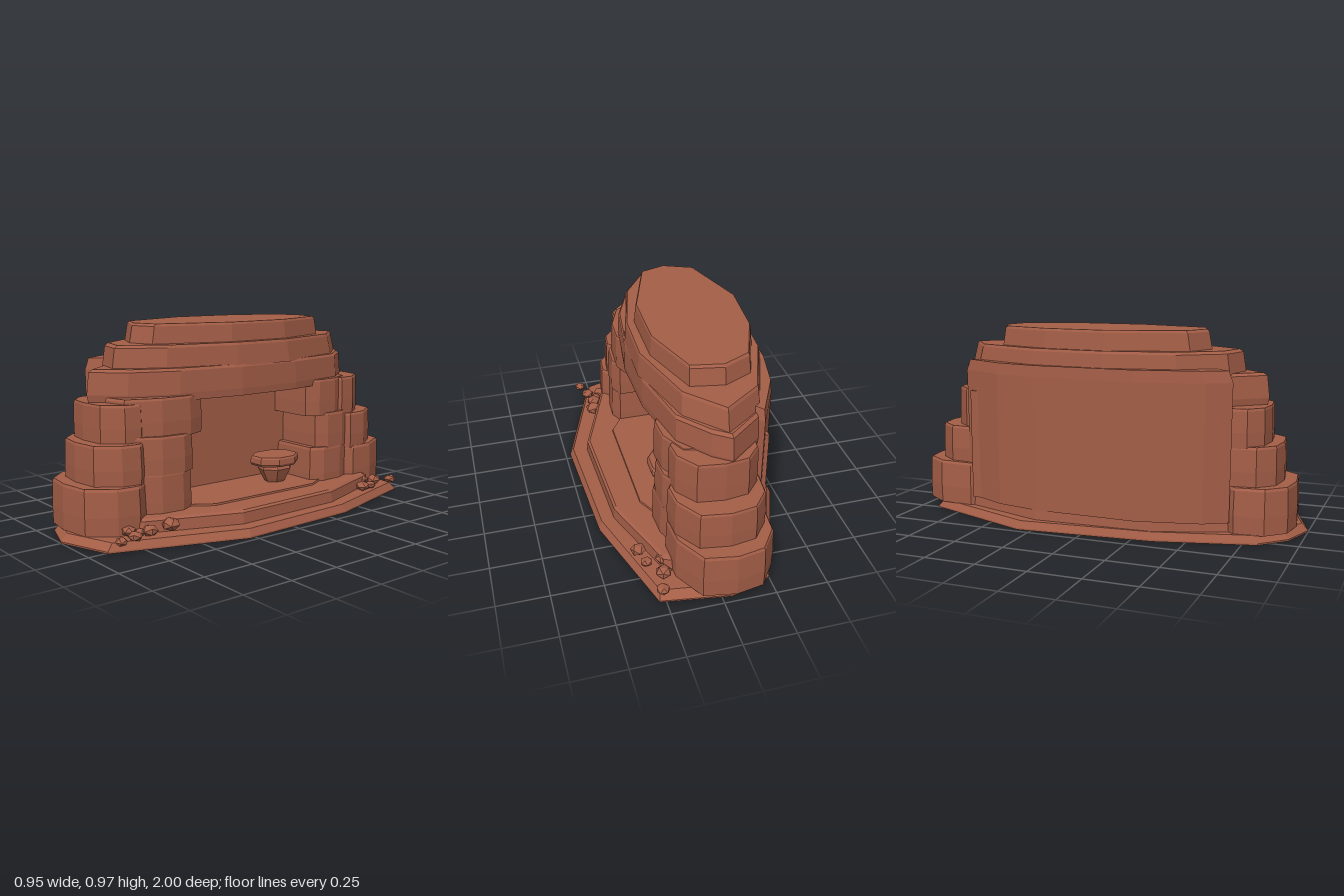
import * as THREE from 'three';

const rock = new THREE.MeshStandardMaterial({ color: 0xa45e47, flatShading: true });
rock.name = 'red sandstone';

// Rock slab: an outline of [x, z] corners stacked in rings [y, scale, dx, dz], closed by caps.
function slab(name, outline, rings) {
  const n = outline.length;
  let area = 0, cx = 0, cz = 0;
  outline.forEach(([x, z], i) => {
    const [u, w] = outline[(i + 1) % n];
    area += x * w - u * z;
    cx += x / n;
    cz += z / n;
  });
  const pts = area > 0 ? [...outline].reverse() : outline;
  const levels = rings.map(([y, s, dx = 0, dz = 0]) =>
    pts.map(([x, z]) => [cx + (x - cx) * s + dx, y, cz + (z - cz) * s + dz]));
  const pos = [];
  const tri = (a, b, c) => pos.push(...a, ...b, ...c);
  for (let k = 0; k < levels.length - 1; k++) {
    const lo = levels[k], hi = levels[k + 1];
    for (let i = 0; i < n; i++) {
      const j = (i + 1) % n;
      tri(lo[i], lo[j], hi[j]);
      tri(lo[i], hi[j], hi[i]);
    }
  }
  const bottom = levels[0], top = levels[levels.length - 1];
  for (let i = 1; i < n - 1; i++) {
    tri(bottom[0], bottom[i + 1], bottom[i]);
    tri(top[0], top[i], top[i + 1]);
  }
  const geo = new THREE.BufferGeometry();
  geo.setAttribute('position', new THREE.Float32BufferAttribute(pos, 3));
  geo.computeVertexNormals();
  const mesh = new THREE.Mesh(geo, rock);
  mesh.name = name;
  return mesh;
}

// Column block: rounded toward its outer end (zOut), chamfered at its inner end (zIn).
function block(name, x0, x1, zIn, zOut, y0, y1) {
  const shape = [[0.1, 0], [0.9, 0], [1, 0.2], [0.98, 0.55], [0.8, 0.93], [0.48, 1], [0.2, 0.94], [0.03, 0.65], [0, 0.2]];
  const outline = shape.map(([u, v]) => [x0 + (x1 - x0) * u, zIn + (zOut - zIn) * v]);
  const h = y1 - y0;
  return slab(name, outline, [[y0, 0.99], [y0 + h * 0.4, 1], [y1 - h * 0.06, 0.98], [y1, 0.95]]);
}

export function createModel() {
  const model = new THREE.Group();
  model.name = 'rockShelter';

  // Ground plate and floor steps
  model.add(
    slab('groundPlate', [[0, 1], [0.26, 0.91], [0.475, 0.28], [0.445, -0.37], [0.28, -0.92], [-0.05, -0.97],
      [-0.25, -0.9], [-0.475, -0.32], [-0.42, 0.35], [-0.3, 0.82], [-0.18, 0.94]], [[0, 1], [0.008, 1], [0.042, 0.965]]),
    slab('floorStep', [[0.05, 0.85], [0.22, 0.7], [0.385, 0.25], [0.365, -0.35], [0.22, -0.76], [0, -0.86],
      [-0.25, -0.75], [-0.42, -0.25], [-0.4, 0.35], [-0.26, 0.72]], [[0.04, 1], [0.095, 0.99], [0.105, 0.96]]),
    slab('innerFloor', [[0.1, 0.5], [0.23, 0.3], [0.23, -0.34], [0.15, -0.5], [-0.3, -0.5], [-0.3, 0.5]],
      [[0.1, 1], [0.114, 0.99]]));

  // Back wall, with its thicker inner face behind the opening
  model.add(
    slab('backWall', [[-0.24, 0.62], [-0.295, 0.69], [-0.36, 0.58], [-0.43, 0.27], [-0.42, -0.25],
      [-0.375, -0.47], [-0.26, -0.7], [-0.23, -0.66]], [[0.09, 0.99], [0.74, 1], [0.795, 0.97]]),
    slab('innerWall', [[-0.1, 0.6], [-0.3, 0.6], [-0.3, -0.66], [-0.1, -0.66]], [[0.09, 1], [0.64, 1]]));

  // Stacked end columns: [x0, x1, zIn, zOut, y0, y1]
  const columns = {
    frontOuterBlock: [[-0.3, 0.205, 0.64, 0.955, 0.04, 0.258], [-0.27, 0.175, 0.62, 0.89, 0.25, 0.443], [-0.27, 0.135, 0.6, 0.83, 0.435, 0.618]],
    frontInnerBlock: [[-0.13, 0.195, 0.39, 0.72, 0.05, 0.295], [-0.15, 0.195, 0.38, 0.72, 0.285, 0.465], [-0.18, 0.175, 0.31, 0.75, 0.455, 0.64]],
    backOuterBlock: [[-0.29, 0.19, -0.6, -1, 0.04, 0.26], [-0.26, 0.18, -0.6, -0.92, 0.25, 0.443], [-0.24, 0.16, -0.56, -0.82, 0.435, 0.64]],
    backInnerBlock: [[-0.13, 0.195, -0.38, -0.74, 0.05, 0.285], [-0.15, 0.19, -0.42, -0.74, 0.275, 0.465], [-0.18, 0.18, -0.36, -0.7, 0.455, 0.645]]
  };
  for (const [name, tiers] of Object.entries(columns)) {
    tiers.forEach((t, i) => model.add(block(name + (i + 1), ...t)));
  }

  // Layered roof
  model.add(
    slab('lowerRoof', [[-0.07, 0.81], [0.06, 0.67], [0.15, 0.44], [0.195, 0.1], [0.19, -0.25], [0.12, -0.6],
      [0.0, -0.75], [-0.08, -0.81], [-0.24, -0.68], [-0.36, -0.42], [-0.39, 0.1], [-0.31, 0.5], [-0.19, 0.67]],
    [[0.615, 0.99], [0.65, 1], [0.755, 0.985], [0.768, 0.96]]),
    slab('middleRoof', [[-0.04, 0.69], [0.1, 0.48], [0.185, 0.12], [0.195, -0.2], [0.09, -0.59], [-0.07, -0.77],
      [-0.26, -0.63], [-0.39, -0.28], [-0.415, 0.1], [-0.35, 0.44], [-0.2, 0.65]],
    [[0.76, 1], [0.86, 0.97, 0, 0.005], [0.873, 0.95]]),
    slab('topRoof', [[0.01, 0.5], [0.135, 0.12], [0.14, -0.22], [0.04, -0.53], [-0.12, -0.56], [-0.26, -0.49],
      [-0.36, -0.22], [-0.385, 0.1], [-0.27, 0.48], [-0.12, 0.545]],
    [[0.865, 1], [0.955, 0.97], [0.967, 0.95]]));

  // Mushroom-shaped pedestal stone
  const ring = (cx, cz, rx, rz, n) => Array.from({ length: n }, (_, i) => {
    const a = (i + 0.5) / n * Math.PI * 2;
    return [cx + Math.cos(a) * rx, cz + Math.sin(a) * rz];
  });
  model.add(
    slab('pedestalStem', ring(0.05, -0.235, 0.08, 0.1, 7), [[0.1, 0.5], [0.13, 0.7], [0.185, 1], [0.21, 0.85]]),
    slab('pedestalCap', ring(0.05, -0.23, 0.11, 0.14, 8), [[0.208, 0.94], [0.22, 1], [0.247, 0.98], [0.256, 0.92]]));

  // Scattered rubble: [x, y, z, radius]
  const pebble = new THREE.IcosahedronGeometry(1, 0);
  [[0.28, 0.08, 0.59, 0.046], [0.26, 0.065, 0.69, 0.04], [0.21, 0.065, 0.77, 0.035], [0.28, 0.06, 0.78, 0.035],
    [0.31, 0.06, 0.87, 0.03], [0.24, 0.06, 0.73, 0.028], [0.26, 0.06, -0.9, 0.034], [0.23, 0.065, -0.8, 0.04],
    [0.29, 0.06, -0.71, 0.03], [0.31, 0.07, -0.63, 0.038], [0.21, 0.075, -0.72, 0.04]].forEach(([x, y, z, r], i) => {
    const stone = new THREE.Mesh(pebble, rock);
    stone.name = 'rubble' + (i + 1);
    stone.position.set(x, y, z);
    stone.scale.set(r, r * 0.7, r);
    stone.rotation.y = i * 1.3;
    model.add(stone);
  });
  return model;
}
